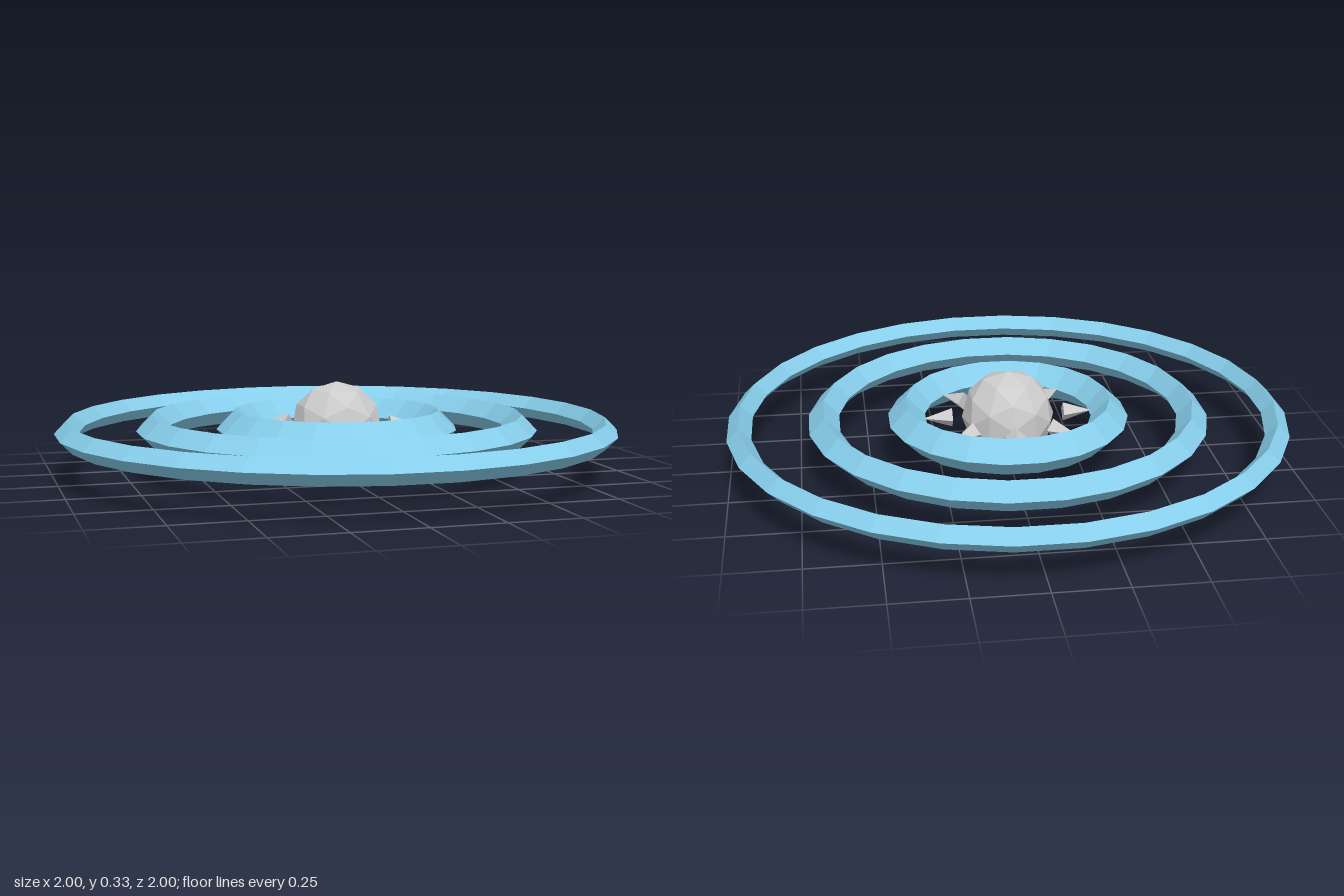
import * as THREE from 'three';

const CENTER_Y = 0.167;

export function createModel() {
  const model = new THREE.Group();
  model.name = 'ringedCore';

  const grey = new THREE.MeshStandardMaterial({ color: 0xcccccc, flatShading: true });
  const blue = new THREE.MeshStandardMaterial({ color: 0x87ceeb, flatShading: true });

  const add = (name, geometry, material, parent = model) => {
    const mesh = new THREE.Mesh(geometry, material);
    mesh.name = name;
    parent.add(mesh);
    return mesh;
  };

  // Faceted ball in the middle
  add('core', new THREE.IcosahedronGeometry(0.167, 1), grey).position.y = CENTER_Y;

  // Spikes pointing outwards around the core
  const spikes = new THREE.Group();
  spikes.name = 'spikes';
  spikes.position.y = CENTER_Y;
  model.add(spikes);
  const spikeGeometry = new THREE.ConeGeometry(0.036, 0.106, 4)
    .rotateZ(-Math.PI / 2)
    .translate(0.255, 0, 0);
  for (let i = 0; i < 8; i++) {
    add('spike', spikeGeometry, grey, spikes).rotation.y = (i * Math.PI) / 4;
  }

  // Concentric rings with a diamond section; each is wider, thinner and has more sides
  ['innerRing', 'middleRing', 'outerRing'].forEach((name, i) => {
    const sides = 20 + 4 * i;
    const ring = new THREE.TorusGeometry(0.367 + 0.298 * i, 0.067 - 0.012 * i, 4, sides)
      .rotateX(-Math.PI / 2)
      .rotateY(Math.PI / sides); // flat sides face the axes
    add(name, ring, blue).position.y = CENTER_Y;
  });

  return model;
}
